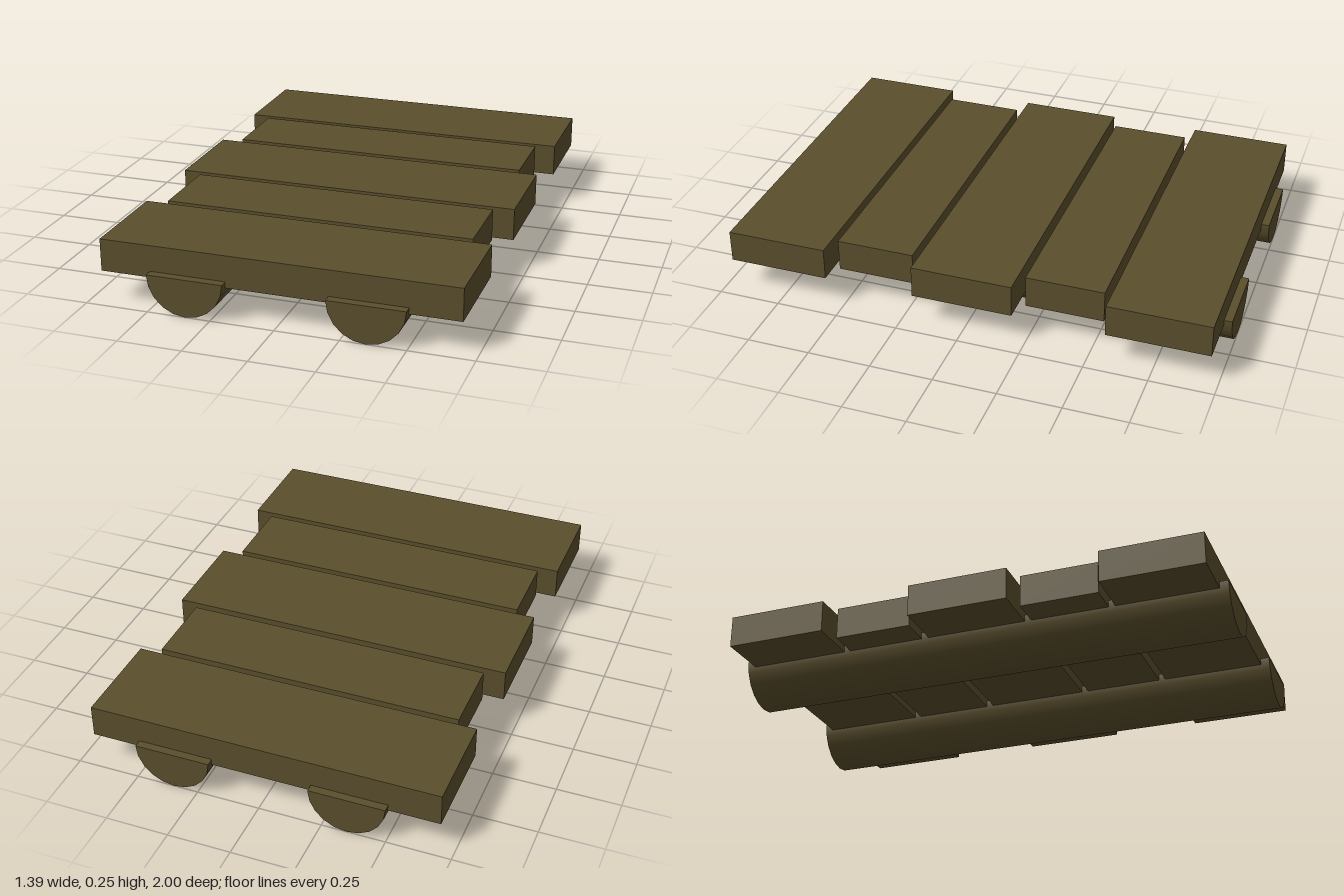
import * as THREE from 'three';

export function createModel() {
  const model = new THREE.Group();
  const wood = new THREE.MeshStandardMaterial({ color: 0x5a4e2c });
  wood.name = 'darkWood';

  const add = (name, geometry, parent, x, y, z) => {
    const mesh = new THREE.Mesh(geometry, wood);
    mesh.name = name;
    mesh.position.set(x, y, z);
    parent.add(mesh);
  };

  // Split logs: half cylinders, round side down, closed by a flat top
  const radius = 0.15, length = 2;
  const round = new THREE.CylinderGeometry(radius, radius, length, 10, 1, false, -Math.PI / 2, Math.PI);
  round.rotateX(Math.PI / 2);
  const flat = new THREE.PlaneGeometry(radius * 2, length).rotateX(-Math.PI / 2);
  for (const side of [-1, 1]) {
    const log = new THREE.Group();
    log.name = side > 0 ? 'leftLog' : 'rightLog';
    log.position.set(side * 0.348, radius, 0);
    add('logRound', round, log, 0, 0, 0);
    add('logFlatTop', flat, log, 0, 0, 0);
    model.add(log);
  }

  // Cross planks, alternating wide and narrow
  const bottom = 0.125, top = 0.253;
  [-0.767, -0.385, 0, 0.382, 0.764].forEach((z, i) => {
    const wide = i % 2 === 0;
    const plank = new THREE.BoxGeometry(wide ? 1.39 : 1.232, top - bottom, wide ? 0.402 : 0.31);
    add(wide ? 'widePlank' : 'narrowPlank', plank, model, -0.002, (top + bottom) / 2, z);
  });

  return model;
}
